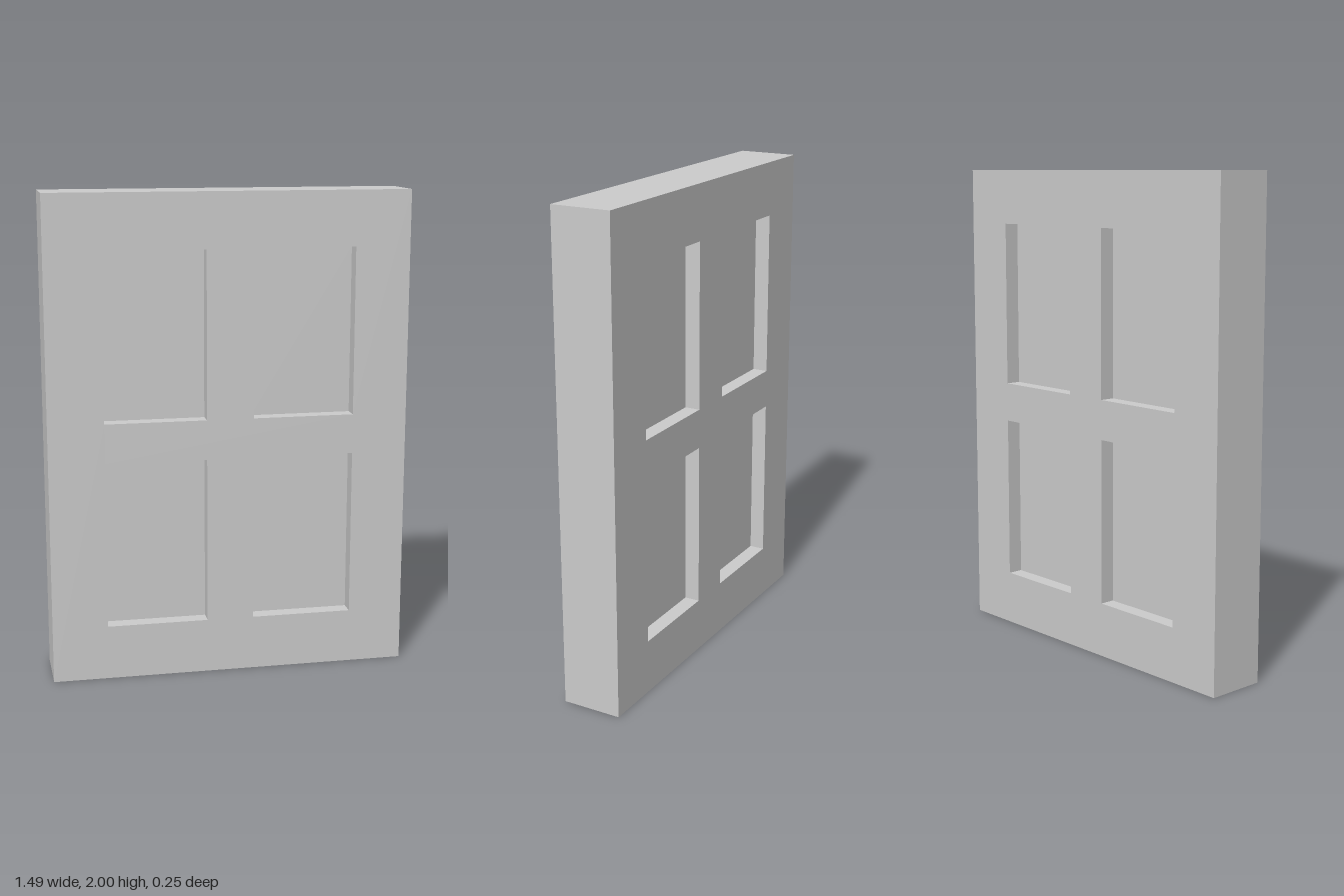
import * as THREE from 'three';

const W = 1.488, H = 2, DEPTH = 0.25;      // outer frame
const PANE_W = 0.419, PANE_H = 0.691;      // openings
const PANE_X = 0.3065, PANE_Y = 0.428;     // opening centres, from the middle
const RECESS = 0.064;                      // how deep the panes sit on each side

function rect(path, cx, cy, w, h) {
  path.moveTo(cx - w / 2, cy - h / 2);
  path.lineTo(cx + w / 2, cy - h / 2);
  path.lineTo(cx + w / 2, cy + h / 2);
  path.lineTo(cx - w / 2, cy + h / 2);
  path.closePath();
  return path;
}

export function createModel() {
  const model = new THREE.Group();
  model.name = 'window';
  const material = new THREE.MeshStandardMaterial({ color: 0xcccccc });
  const outline = rect(new THREE.Shape(), 0, H / 2, W, H);

  const panes = new THREE.Group();
  panes.name = 'panes';
  const paneGeometry = new THREE.PlaneGeometry(PANE_W, PANE_H);

  for (const sx of [-1, 1]) {
    for (const sy of [-1, 1]) {
      const x = sx * PANE_X, y = H / 2 + sy * PANE_Y;
      outline.holes.push(rect(new THREE.Path(), x, y, PANE_W, PANE_H));

      // Recessed pane: one face towards the front, one towards the back
      for (const side of [1, -1]) {
        const pane = new THREE.Mesh(paneGeometry, material);
        pane.name = side > 0 ? 'paneFront' : 'paneBack';
        pane.position.set(x, y, side * (DEPTH / 2 - RECESS));
        if (side < 0) pane.rotation.y = Math.PI;
        panes.add(pane);
      }
    }
  }

  // Frame with crossing bars, cut from one slab
  const geometry = new THREE.ExtrudeGeometry(outline, { depth: DEPTH, bevelEnabled: false });
  geometry.translate(0, 0, -DEPTH / 2);
  const frame = new THREE.Mesh(geometry, material);
  frame.name = 'frame';

  model.add(frame, panes);
  return model;
}
